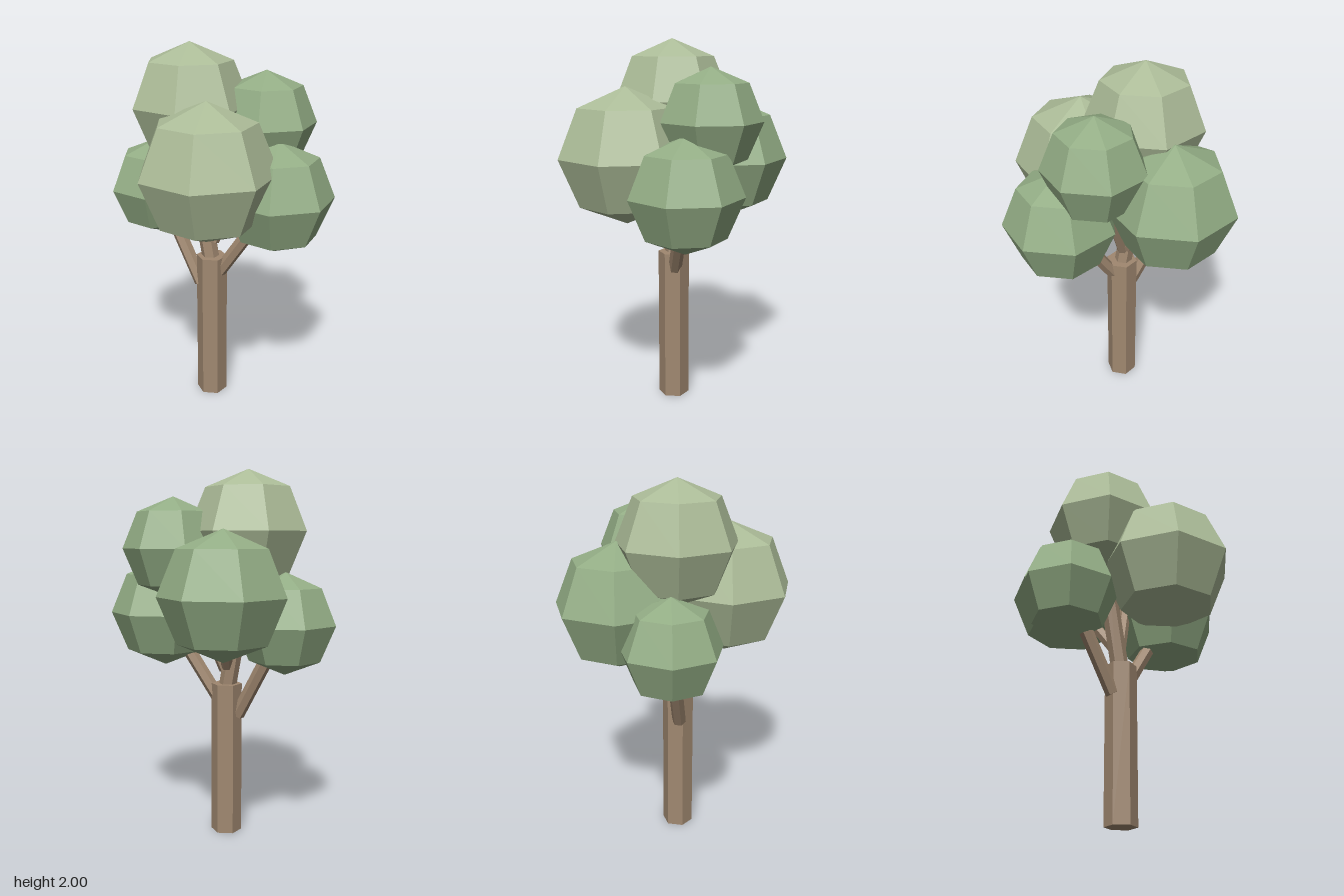
import * as THREE from 'three';

const mat = (color) => new THREE.MeshStandardMaterial({ color, flatShading: true });

export function createModel() {
  const tree = new THREE.Group();
  tree.name = 'tree';
  const bark = mat(0xa08870);
  const leaf = mat(0x93ad85);
  const paleLeaf = mat(0xacbc98);

  // Hexagonal limb running between two points
  function limb(name, from, to, radius, sides = 6) {
    const a = new THREE.Vector3(...from);
    const b = new THREE.Vector3(...to);
    const dir = b.clone().sub(a);
    const mesh = new THREE.Mesh(new THREE.CylinderGeometry(radius, radius, dir.length(), sides), bark);
    mesh.name = name;
    mesh.position.copy(a).add(b).multiplyScalar(0.5);
    mesh.quaternion.setFromUnitVectors(new THREE.Vector3(0, 1, 0), dir.normalize());
    tree.add(mesh);
  }

  // Seven-sided foliage ball with a corner pointing to the back
  function foliage(name, centre, radius, material) {
    const geo = new THREE.SphereGeometry(radius, 7, 4).rotateY(-Math.PI / 2);
    const mesh = new THREE.Mesh(geo, material);
    mesh.name = name;
    mesh.position.set(...centre);
    tree.add(mesh);
  }

  // Trunk and branches
  limb('trunk', [-0.02, 0, 0.026], [-0.02, 0.85, 0.026], 0.085);
  limb('mainBranch', [-0.02, 0.8, 0.026], [-0.15, 1.5, 0.04], 0.048);
  limb('rightBranch', [-0.082, 0.675, 0.045], [-0.37, 1.2, 0.06], 0.038);
  limb('leftBranch', [0.025, 0.76, 0.015], [0.335, 1.235, -0.065], 0.037);
  limb('backRightBranch', [-0.04, 0.95, 0.0], [-0.195, 1.355, -0.255], 0.032);
  limb('backLeftBranch', [-0.02, 0.93, 0.01], [0.18, 1.59, -0.18], 0.032);

  // Foliage
  foliage('topFoliage', [-0.145, 1.68, 0.045], 0.32, paleLeaf);
  foliage('frontFoliage', [0.13, 1.4, 0.26], 0.36, paleLeaf);
  foliage('upperBackFoliage', [0.18, 1.59, -0.18], 0.27, leaf);
  foliage('backRightFoliage', [-0.195, 1.355, -0.255], 0.335, leaf);
  foliage('leftFoliage', [0.338, 1.235, -0.066], 0.3, leaf);
  foliage('rightFoliage', [-0.37, 1.2, 0.06], 0.27, leaf);

  return tree;
}
